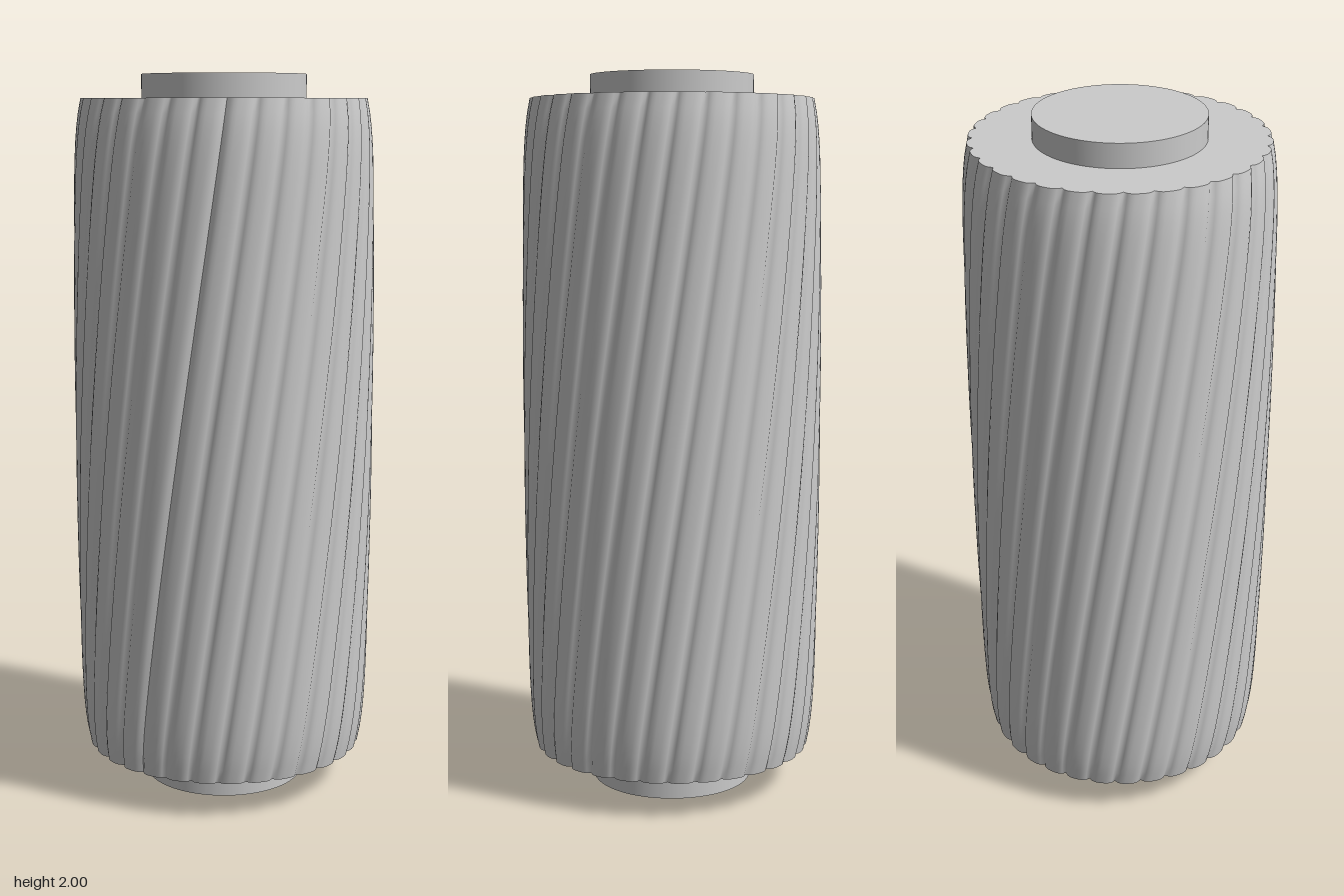
import * as THREE from 'three';

const GROOVES = 32, TWIST = 0.65, DEPTH = 0.013;
const BOTTOM = 0.105, TOP = 1.935;

// Barrel radius for t = -1 (bottom) to 1 (top): slight crown, tapered at the ends
function barrelRadius(t) {
  return 0.42 - 0.012 * t * t - 0.016 * Math.pow(Math.abs(t), 12);
}

function createBarrel(material) {
  const height = TOP - BOTTOM;
  const geometry = new THREE.CylinderGeometry(1, 1, height, GROOVES * 8, 48);
  const pos = geometry.attributes.position;
  for (let i = 0; i < pos.count; i++) {
    const x = pos.getX(i), y = pos.getY(i), z = pos.getZ(i);
    if (Math.hypot(x, z) < 0.5) continue; // cap centres stay put
    const angle = Math.atan2(x, z);
    const t = (2 * y) / height;
    // Rounded ridges between narrow grooves
    const groove = Math.pow(1 - Math.abs(Math.sin((angle * GROOVES) / 2)), 2);
    const r = barrelRadius(t) - DEPTH * groove;
    // Twist the grooves into a shallow spiral
    const a = angle + (TWIST * t) / 2;
    pos.setXYZ(i, r * Math.sin(a), y, r * Math.cos(a));
  }
  geometry.computeVertexNormals();
  const barrel = new THREE.Mesh(geometry, material);
  barrel.name = 'groovedBarrel';
  barrel.position.y = (BOTTOM + TOP) / 2;
  return barrel;
}

function createShaft(name, y0, y1, material) {
  const shaft = new THREE.Mesh(new THREE.CylinderGeometry(0.226, 0.226, y1 - y0, 96), material);
  shaft.name = name;
  shaft.position.y = (y0 + y1) / 2;
  return shaft;
}

export function createModel() {
  const material = new THREE.MeshStandardMaterial({ color: 0xcccccc });
  const model = new THREE.Group();
  model.name = 'groovedRoller';
  model.add(
    createBarrel(material),
    createShaft('lowerShaft', 0, BOTTOM, material),
    createShaft('upperShaft', TOP, 2, material)
  );
  return model;
}
